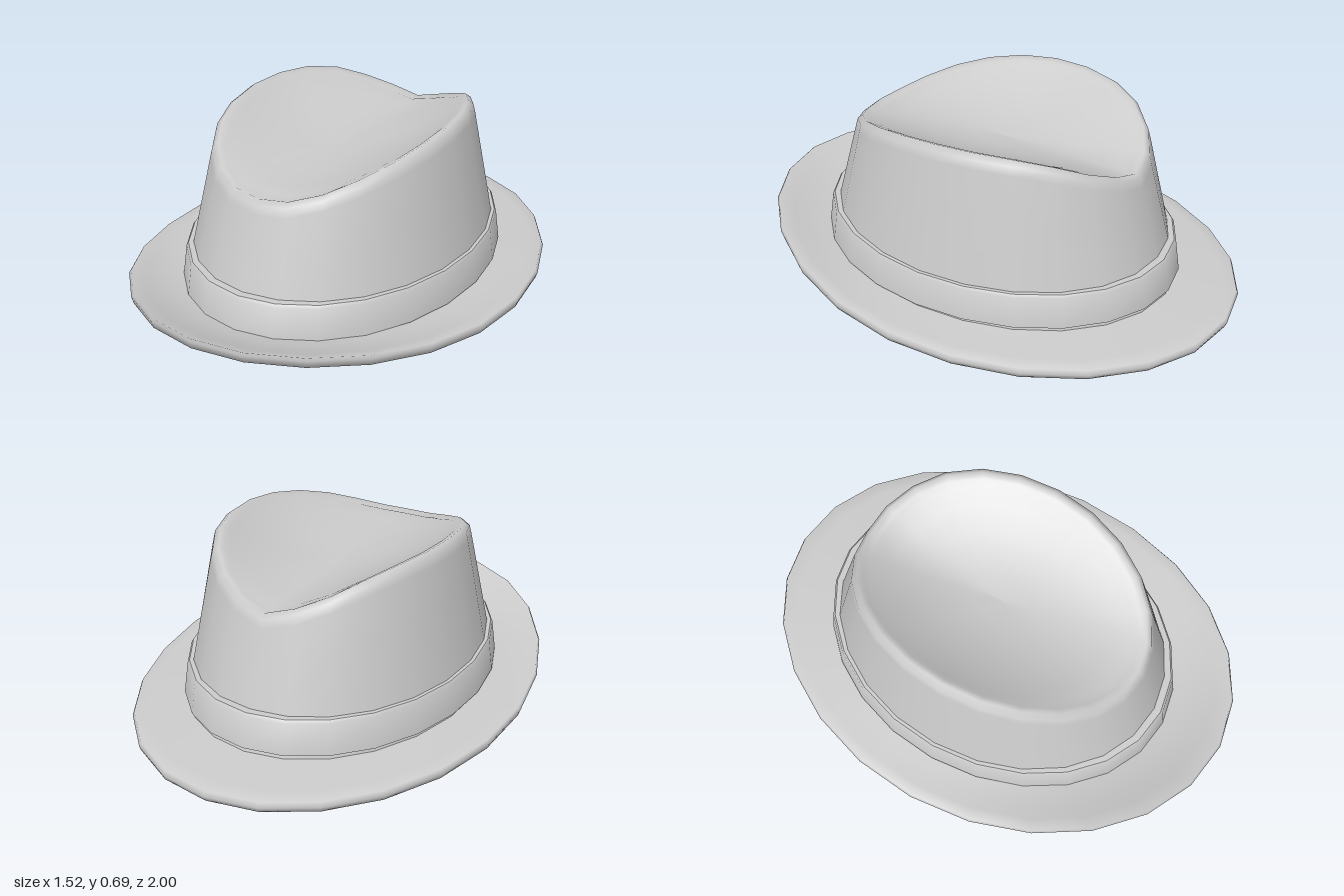
import * as THREE from 'three';
import { toCreasedNormals } from 'three/addons/utils/BufferGeometryUtils.js';

const SIDES = 24;

// Heights every 15 degrees from front (first) to back (last), mirrored left and right
const RIM = [0.527, 0.535, 0.565, 0.605, 0.642, 0.67, 0.686, 0.69, 0.683, 0.658, 0.612, 0.568, 0.533];
const LIFT = [0.137, 0.132, 0.118, 0.094, 0.065, 0.038, 0.02, 0.01, 0.005, 0.003, 0.002, 0, 0];
const at = (table, i) => table[Math.min(i, SIDES - i)];
const angle = i => (i / SIDES) * Math.PI * 2;
const lerp = THREE.MathUtils.lerp;

// Skins a stack of elliptical rings { rx, rz, y }, where y is a function of the side index
function skin(rings) {
  const positions = [], index = [];
  rings.forEach(({ rx, rz, y }, r) => {
    for (let i = 0; i < SIDES; i++) {
      positions.push(rx * Math.sin(angle(i)), y(i), rz * Math.cos(angle(i)));
      if (r === 0) continue;
      const j = (i + 1) % SIDES, lo = (r - 1) * SIDES, hi = r * SIDES;
      index.push(lo + i, lo + j, hi + j, lo + i, hi + j, hi + i);
    }
  });
  const geometry = new THREE.BufferGeometry();
  geometry.setAttribute('position', new THREE.Float32BufferAttribute(positions, 3));
  geometry.setIndex(index);
  geometry.computeVertexNormals();
  return geometry;
}

const ring = (rx, rz, y) => ({ rx, rz, y });

// Brim ring: f runs from the head opening (0) to the outer edge (1)
const brimRing = (f, inner, outer) => ring(
  lerp(0.573, 0.753, f), lerp(0.738, 0.992, f),
  i => lerp(inner + 0.01 * Math.cos(angle(i)), outer, f) + at(LIFT, i) * Math.pow(f, 1.25));

// Wall ring: f runs from the brim (0) to just below the rim (1)
const wallRing = (f, inset) => ring(
  lerp(0.58, 0.465, f) - inset, lerp(0.75, 0.616, f) - inset,
  i => lerp(0.045, at(RIM, i) - 0.05, f));

// Dish ring: s runs from the centre (0) to the rim (1)
const dishRing = (s, drop) => ring(
  0.43 * s, 0.58 * s,
  i => 0.528 + (at(RIM, i) - 0.528) * s * s - drop);

export function createModel() {
  const group = new THREE.Group();
  const material = new THREE.MeshStandardMaterial({ color: 0xcccccc });
  const add = (name, geometry) => {
    const mesh = new THREE.Mesh(geometry, material);
    mesh.name = name;
    group.add(mesh);
  };

  const dishSteps = [0, 0.2, 0.4, 0.6, 0.78, 0.92];
  const steps = [0, 0.25, 0.5, 0.75, 1];
  const stepsBack = [...steps].reverse();

  // Felt lining: underside of the dish and inner wall
  add('lining', skin([
    ...dishSteps.map(s => dishRing(s, 0.02)),
    ...stepsBack.map(f => wallRing(f, 0.014)),
    brimRing(0, 0.02, 0),
  ]));

  // Brim: underside, rounded edge and upper side
  add('brim', skin([
    ...steps.map(f => brimRing(f, 0.02, 0)),
    ring(0.76, 1, i => 0.02 + at(LIFT, i) * 1.08),
    ...stepsBack.map(f => brimRing(f, 0.065, 0.038)),
  ]));

  // Crown: tapered wall, rounded rim and pinched dish on top
  add('crown', skin([
    ...steps.map(f => wallRing(f, 0)),
    ring(0.457, 0.606, i => at(RIM, i) - 0.016),
    ring(0.435, 0.586, i => at(RIM, i)),
    ring(0.412, 0.56, i => at(RIM, i) - 0.01),
    ...[...dishSteps].reverse().map(s => dishRing(s, 0)),
  ]));

  // Ribbon around the foot of the crown, with a softened top edge
  add('hatBand', toCreasedNormals(skin([
    ring(0.56, 0.72, () => 0.075),
    ring(0.585, 0.758, () => 0.075),
    ring(0.569, 0.738, () => 0.195),
    ring(0.562, 0.729, () => 0.206),
    ring(0.535, 0.69, () => 0.206),
  ]), 0.7));

  return group;
}
